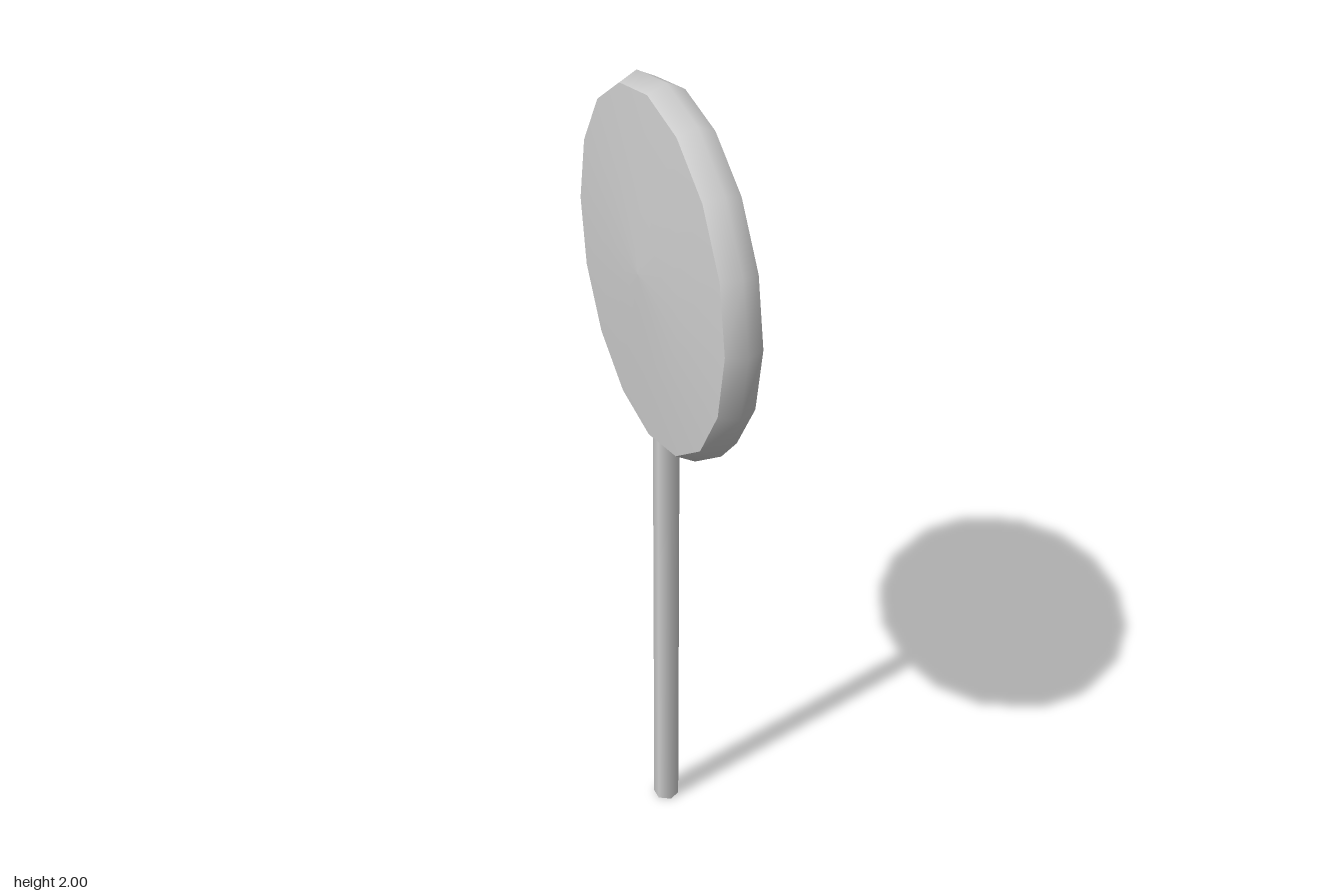
import * as THREE from 'three';

const SIDES = 16;
const material = new THREE.MeshStandardMaterial({ color: 0xcccccc, side: THREE.DoubleSide });

// Turned part from [radius, height] pairs, listed from bottom to top
function turned(name, profile) {
  const points = profile.map(([r, h]) => new THREE.Vector2(r, h));
  const mesh = new THREE.Mesh(new THREE.LatheGeometry(points, SIDES), material);
  mesh.name = name;
  return mesh;
}

export function createModel() {
  const model = new THREE.Group();
  model.name = 'lollipop';

  // Candy disc: bevelled rim and two shallow domed faces, turned on the x axis
  const candy = new THREE.Group();
  candy.name = 'candy';
  candy.add(turned('candyRim', [[0.43, -0.045], [0.452, 0], [0.43, 0.045]]));
  candy.add(turned('candyFaceLeft', [[0.43, 0.045], [0.22, 0.061], [0, 0.07]]));
  candy.add(turned('candyFaceRight', [[0, -0.07], [0.22, -0.061], [0.43, -0.045]]));
  candy.rotation.z = -Math.PI / 2;
  candy.position.y = 1.548;
  model.add(candy);

  // Six-sided stick, its top sunk into the rim
  const stickHeight = 1.13;
  const stick = new THREE.Mesh(new THREE.CylinderGeometry(0.032, 0.032, stickHeight, 6), material);
  stick.name = 'stick';
  stick.position.y = stickHeight / 2;
  model.add(stick);

  return model;
}
